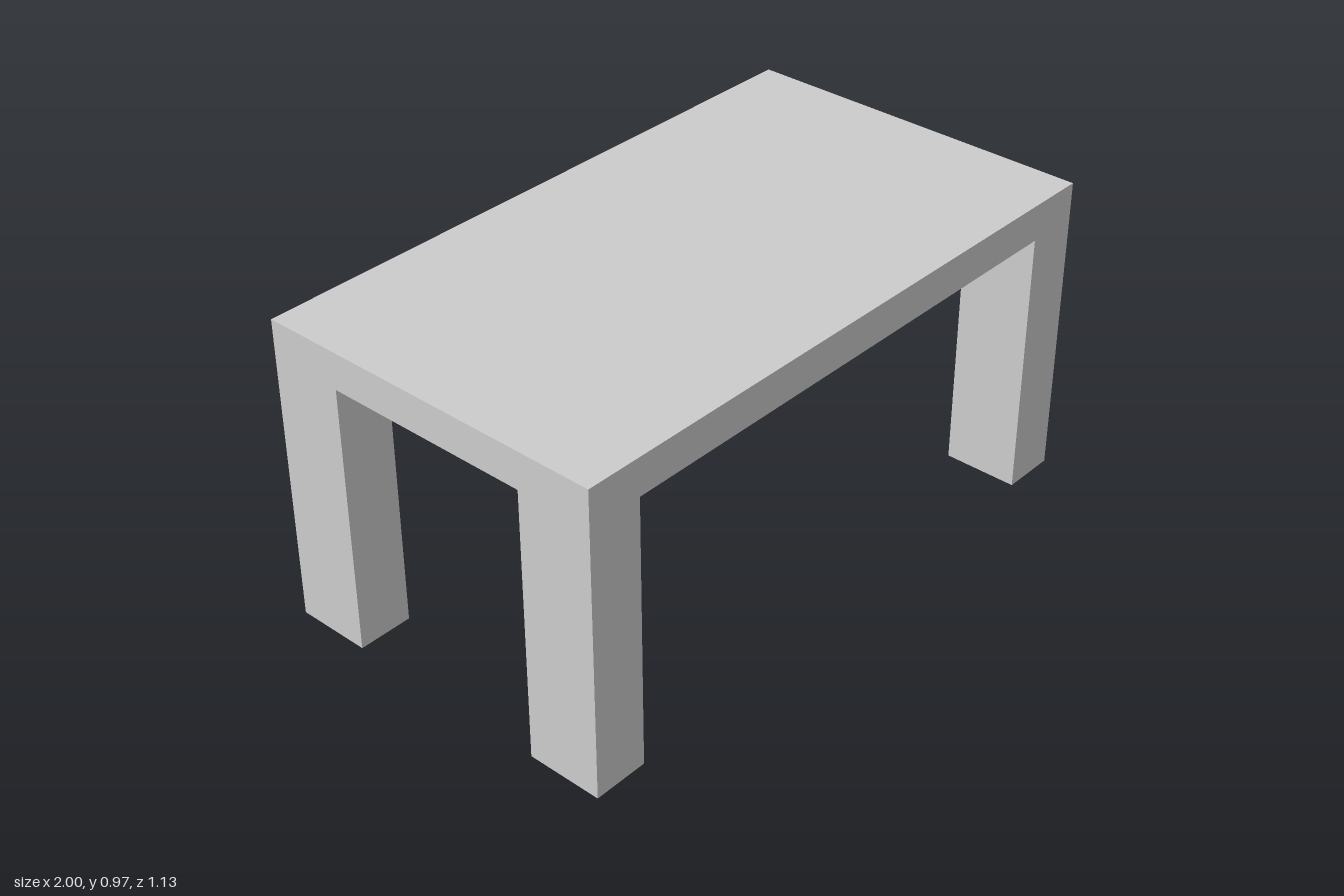
import * as THREE from 'three';

const WIDTH = 2, DEPTH = 1.134, HEIGHT = 0.967;
const TOP_THICKNESS = 0.115;
const LEG_WIDTH = 0.174, LEG_DEPTH = 0.238;

export function createModel() {
  const table = new THREE.Group();
  table.name = 'table';
  const material = new THREE.MeshStandardMaterial({ color: 0xcccccc });

  const addBox = (name, w, h, d, x, y, z) => {
    const mesh = new THREE.Mesh(new THREE.BoxGeometry(w, h, d), material);
    mesh.name = name;
    mesh.position.set(x, y, z);
    table.add(mesh);
  };

  // Flat slab top
  addBox('tabletop', WIDTH, TOP_THICKNESS, DEPTH, 0, HEIGHT - TOP_THICKNESS / 2, 0);

  // Four legs, flush with the corners of the top
  const legHeight = HEIGHT - TOP_THICKNESS;
  for (const sx of [-1, 1]) {
    for (const sz of [-1, 1]) {
      const name = (sz > 0 ? 'front' : 'back') + (sx > 0 ? 'Left' : 'Right') + 'Leg';
      addBox(name, LEG_WIDTH, legHeight, LEG_DEPTH,
        sx * (WIDTH - LEG_WIDTH) / 2, legHeight / 2, sz * (DEPTH - LEG_DEPTH) / 2);
    }
  }

  return table;
}
